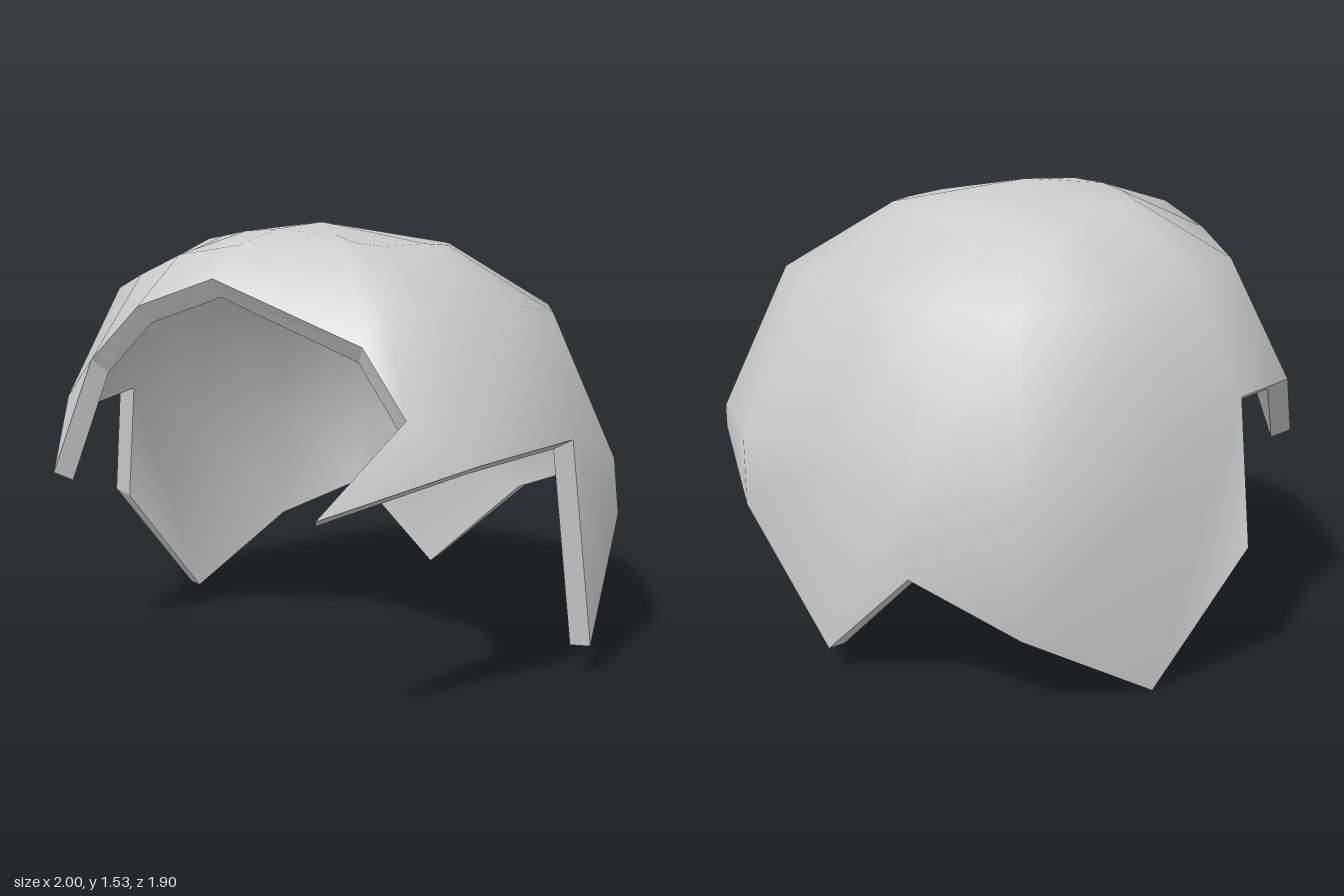
import * as THREE from 'three';
import { mergeVertices } from 'three/addons/utils/BufferGeometryUtils.js';

const APEX = new THREE.Vector3(0.02, 1.53, 0.03);
const EQUATOR = 0.72; // height where the dome turns into upright wall
const ARC = [0, 0.28, 0.57, 1]; // coarse rings from apex down the dome
const INNER = new THREE.Vector3(0.93, 0.955, 0.93); // inner skin relative to outer

// Jagged outer rim, going round from the left front: x, y, z, wall taper.
// Points without a taper are spikes hanging between their two neighbours.
const RIM = [
  [0.86, 0.84, 0.49, 1], [0.57, 0.73, 0.95], [0.68, 0.98, 0.62, 1],
  [0.5, 1.18, 0.57, 1], [-0.02, 1.37, 0.62, 1], [-0.31, 1.27, 0.64, 1],
  [-0.56, 1.07, 0.59, 1], [-0.76, 0.65, 0.58], [-0.86, 0.89, 0.38, 1],
  [-0.92, 0.91, 0.01, 1], [-1, 0.44, -0.04], [-0.85, 0, -0.33, 1.03],
  [-0.68, 0.26, -0.76, 1], [-0.36, 0.42, -0.92, 1], [0, 0.09, -0.94, 1.01],
  [0.43, 0.48, -0.92, 1], [0.8, 0.64, -0.72, 1], [0.98, 0.52, -0.4, 0.98],
  [1, 0.12, -0.12], [0.96, 0.85, 0, 1],
];

// One column of points from the apex down a quarter ellipse, then down the wall
function column([x, y, z, taper]) {
  const base = Math.max(y, EQUATOR);
  const points = ARC.map((t) => {
    const u = Math.sin((t * Math.PI) / 2);
    return new THREE.Vector3(
      APEX.x + (x * taper - APEX.x) * u,
      base + (APEX.y - base) * Math.cos((t * Math.PI) / 2),
      APEX.z + (z * taper - APEX.z) * u,
    );
  });
  // Rims above the equator have no wall, so the last point repeats
  points.push(y < EQUATOR ? new THREE.Vector3(x, y, z) : points.at(-1));
  return points;
}

function fromTriangles(triangles, smooth) {
  let geometry = new THREE.BufferGeometry().setFromPoints(triangles.flat());
  if (smooth) geometry = mergeVertices(geometry, 1e-4);
  geometry.computeVertexNormals();
  return geometry;
}

export function createModel() {
  const group = new THREE.Group();
  group.name = 'brokenDomeShell';
  const material = new THREE.MeshStandardMaterial({ color: 0xcccccc, side: THREE.DoubleSide });
  const add = (name, triangles, smooth) => {
    const mesh = new THREE.Mesh(fromTriangles(triangles, smooth), material);
    mesh.name = name;
    group.add(mesh);
  };

  // Outer skin: neighbouring columns joined, leaving out empty triangles
  const outer = [];
  const columns = RIM.filter((p) => p.length === 4).map(column);
  columns.forEach((a, i) => {
    const b = columns[(i + 1) % columns.length];
    for (let k = 0; k < ARC.length; k++) {
      if (k > 0 && b[k] !== b[k + 1]) outer.push([a[k], b[k], b[k + 1]]);
      if (a[k] !== a[k + 1]) outer.push([a[k], b[k + 1], a[k + 1]]);
    }
  });

  // Spikes hanging from the rim
  const rim = RIM.map(([x, y, z]) => new THREE.Vector3(x, y, z));
  RIM.forEach((p, i) => {
    if (p.length === 3) outer.push([rim[i - 1], rim[i + 1], rim[i]]);
  });
  add('outerSkin', outer, true);

  // Inner skin: the outer one shrunk and turned inside out
  const shrink = (p) => p.clone().multiply(INNER);
  add('innerSkin', outer.map(([a, b, c]) => [shrink(a), shrink(c), shrink(b)]), true);

  // Flat broken edge between the skins
  const edge = [];
  rim.forEach((a, i) => {
    const b = rim[(i + 1) % rim.length];
    edge.push([a, b, shrink(b)], [a, shrink(b), shrink(a)]);
  });
  add('brokenEdge', edge, false);
  return group;
}
